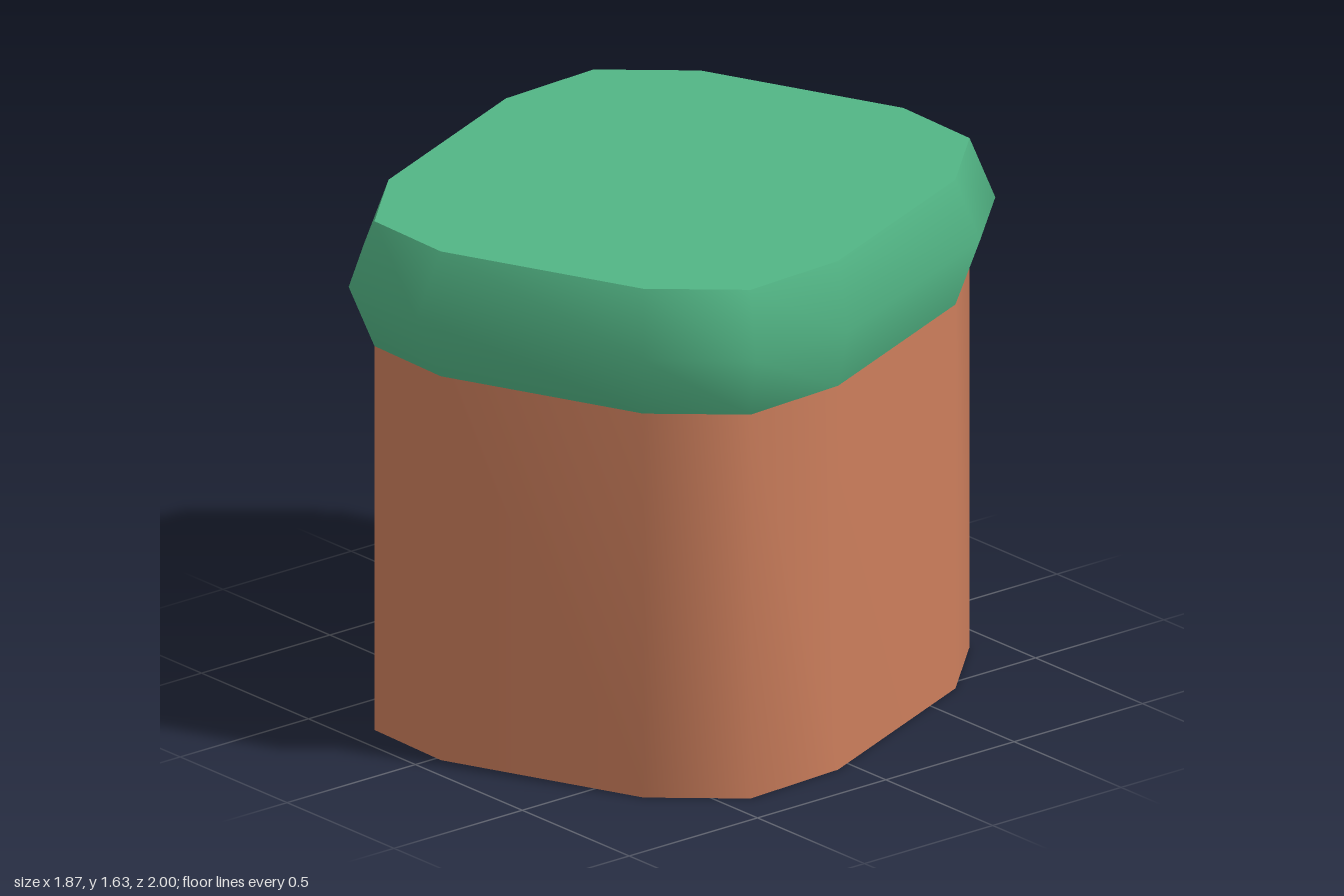
import * as THREE from 'three';

// Half outlines [x, z]; the other half is the same turned by 180 degrees
const mirrorHalf = half => [...half, ...half.map(([x, z]) => [-x, -z])];
const inner = mirrorHalf([[0.02, 0.918], [0.65, 0.653], [0.862, 0.412], [0.843, 0.055], [0.543, -0.652], [0.302, -0.908]]);
const outer = mirrorHalf([[0.005, 1], [0.71, 0.702], [0.933, 0.45], [0.915, 0.077], [0.58, -0.717], [0.33, -0.985]]);

// Smooth wall through a stack of [outline, y] rings
function wall(rings) {
  const n = inner.length, pos = [], index = [];
  for (const [ring, y] of rings) for (const [x, z] of ring) pos.push(x, y, z);
  for (let r = 0; r < rings.length - 1; r++) {
    for (let i = 0; i < n; i++) {
      const a = r * n + i, b = r * n + (i + 1) % n;
      index.push(a, b, a + n, b, b + n, a + n);
    }
  }
  return finish(pos, index);
}

// Flat lid closing an outline, facing up or down
function lid(ring, y, up) {
  const n = ring.length, pos = [0, y, 0], index = [];
  for (const [x, z] of ring) pos.push(x, y, z);
  for (let i = 0; i < n; i++) {
    const a = i + 1, b = (i + 1) % n + 1;
    index.push(0, up ? a : b, up ? b : a);
  }
  return finish(pos, index);
}

function finish(pos, index) {
  const g = new THREE.BufferGeometry();
  g.setAttribute('position', new THREE.Float32BufferAttribute(pos, 3));
  g.setIndex(index);
  g.computeVertexNormals();
  return g;
}

export function createModel() {
  const clay = new THREE.MeshStandardMaterial({ color: 0xcc7e5c });
  clay.name = 'clay';
  const green = new THREE.MeshStandardMaterial({ color: 0x52b585 });
  green.name = 'green';

  const model = new THREE.Group();
  model.name = 'cappedBlock';
  const add = (name, geometry, material) => {
    const mesh = new THREE.Mesh(geometry, material);
    mesh.name = name;
    model.add(mesh);
  };

  // Straight body
  add('bodyWall', wall([[inner, 0], [inner, 1.23]]), clay);
  add('bodyBase', lid(inner, 0, false), clay);

  // Bulging cap with a flat top
  add('capRim', wall([[inner, 1.23], [outer, 1.43], [inner, 1.63]]), green);
  add('capTop', lid(inner, 1.63, true), green);

  return model;
}
